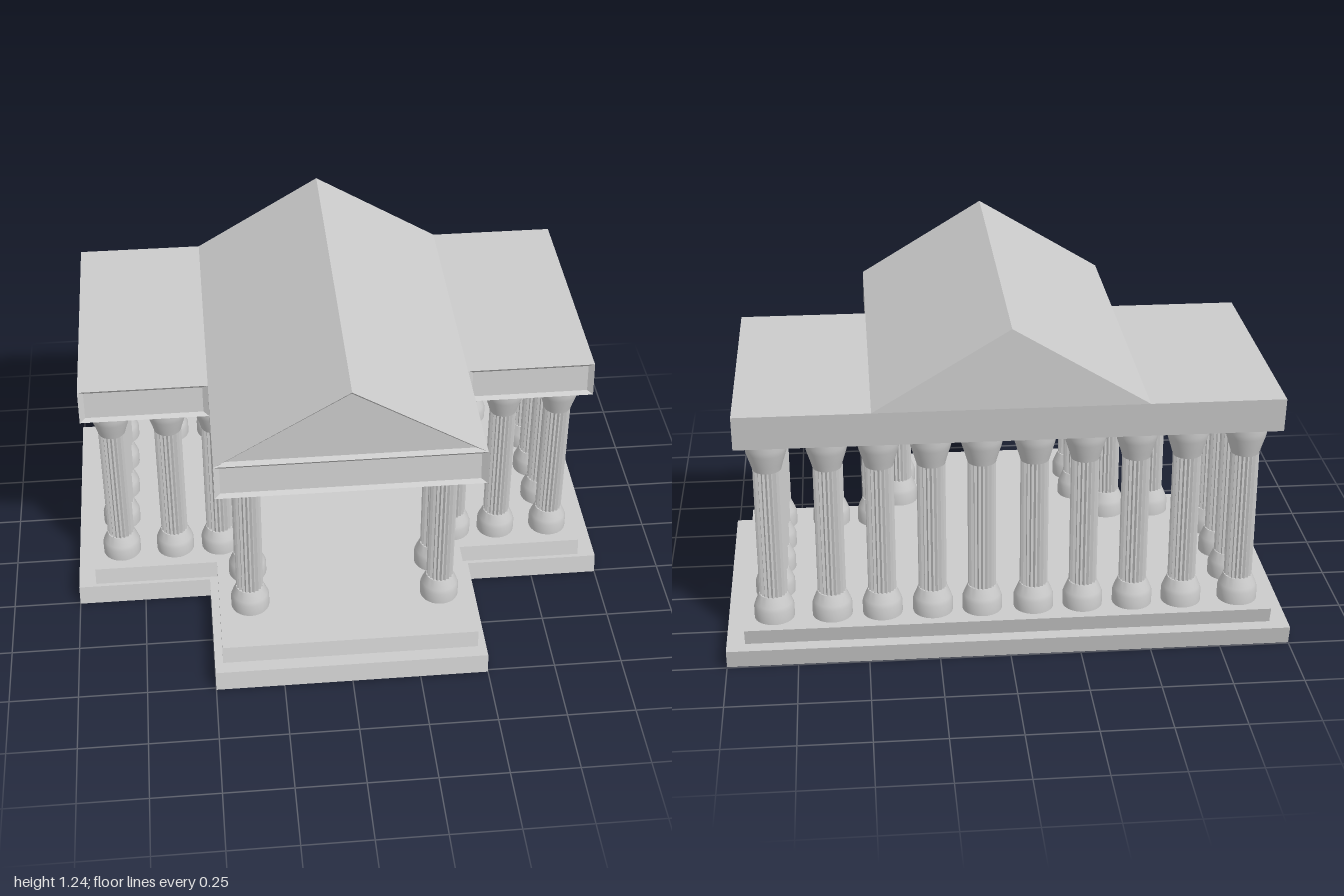
import * as THREE from 'three';
import { toCreasedNormals, mergeGeometries } from 'three/addons/utils/BufferGeometryUtils.js';

const LEAN = 0.015;    // every slab leans slightly backwards
const RECESS = 0.015;  // depth of the sunken front panels

const flat = new THREE.MeshStandardMaterial({ color: 0xcccccc, flatShading: true });
const smooth = new THREE.MeshStandardMaterial({ color: 0xcccccc });

function add(parent, name, geometry, material = flat) {
  const mesh = new THREE.Mesh(geometry, material);
  mesh.name = name;
  parent.add(mesh);
  return mesh;
}

// T-shaped slab: wide hall at the back, narrow porch at the front
function slab(y, height, hallX, porchX, back, hallFront, porchFront) {
  const plan = [
    [-hallX, back], [-hallX, hallFront], [-porchX, hallFront], [-porchX, porchFront],
    [porchX, porchFront], [porchX, hallFront], [hallX, hallFront], [hallX, back],
  ];
  const shape = new THREE.Shape(plan.map(([x, z]) => new THREE.Vector2(x, -z)));
  const geo = new THREE.ExtrudeGeometry(shape, { depth: height, bevelEnabled: false });
  geo.rotateX(-Math.PI / 2);
  const p = geo.attributes.position;
  for (let i = 0; i < p.count; i++) p.setZ(i, p.getZ(i) - LEAN * p.getY(i) / height);
  geo.translate(0, y, 0);
  return geo;
}

// Bevelled lip running round a sunken panel; outer and inner loops run anticlockwise
function lip(outer, inner, zAt) {
  const pos = [];
  const quad = (a, b, c, d) => pos.push(...a, ...b, ...c, ...a, ...c, ...d);
  const front = outer.map(([x, y]) => [x, y, zAt(y)]);
  const rear = outer.map(([x, y]) => [x, y, zAt(y) - RECESS]);
  const sunk = inner.map(([x, y]) => [x, y, zAt(y) - RECESS]);
  for (let i = 0; i < outer.length; i++) {
    const j = (i + 1) % outer.length;
    quad(rear[i], rear[j], front[j], front[i]);
    quad(front[i], front[j], sunk[j], sunk[i]);
  }
  const geo = new THREE.BufferGeometry();
  geo.setAttribute('position', new THREE.Float32BufferAttribute(pos, 3));
  geo.computeVertexNormals();
  return geo;
}

const rect = (x0, x1, y0, y1) => [[x0, y0], [x1, y0], [x1, y1], [x0, y1]];

// Shaft with shallow flutes: alternate sides pulled inwards
function flutedShaft(radius, y0, y1) {
  const flutes = 20;
  const shape = new THREE.Shape();
  for (let i = 0; i < flutes * 2; i++) {
    const r = i % 2 ? radius * 0.87 : radius;
    const a = (i / (flutes * 2)) * Math.PI * 2;
    shape[i ? 'lineTo' : 'moveTo'](r * Math.cos(a), r * Math.sin(a));
  }
  const geo = new THREE.ExtrudeGeometry(shape, { depth: y1 - y0, bevelEnabled: false });
  return geo.rotateX(-Math.PI / 2).translate(0, y0, 0);
}

function turned(profile) {
  const geo = new THREE.LatheGeometry(profile.map(([r, y]) => new THREE.Vector2(r, y)), 28);
  return toCreasedNormals(geo, 0.7);
}

export function createModel() {
  const model = new THREE.Group();
  model.name = 'temple';

  // Stepped platform
  add(model, 'lowerStep', slab(0, 0.07, 1, 0.5, -0.745, 0.257, 0.76));
  add(model, 'upperStep', slab(0.07, 0.06, 0.935, 0.47, -0.71, 0.227, 0.695));

  // Entablature with sunken front panels
  const y0 = 0.83, y1 = 0.955, hallFront = 0.203, porchFront = 0.67;
  add(model, 'entablature',
    slab(y0, y1 - y0, 0.935, 0.47, -0.73, hallFront - RECESS, porchFront - RECESS));
  const lean = (z) => (y) => z - LEAN * (y - y0) / (y1 - y0);
  const panels = [[-0.935, -0.47, hallFront], [-0.47, 0.47, porchFront], [0.47, 0.935, hallFront]];
  add(model, 'entablatureLips', mergeGeometries(panels.map(([a, b, z]) =>
    lip(rect(a, b, y0, y1), rect(a + 0.02, b - 0.02, y0 + 0.01, y1 - 0.015), lean(z)))));

  // Gable roof and its sunken pediment
  const roofFront = 0.655, roofBack = -0.745, apex = 1.24;
  const gable = [[-0.47, y1], [0.47, y1], [0, apex]];
  const gableShape = new THREE.Shape(gable.map(([x, y]) => new THREE.Vector2(x, y)));
  const roof = new THREE.ExtrudeGeometry(gableShape,
    { depth: roofFront - RECESS - roofBack, bevelEnabled: false });
  add(model, 'gableRoof', roof.translate(0, 0, roofBack));
  add(model, 'pedimentLip',
    lip(gable, [[-0.43, y1 + 0.011], [0.43, y1 + 0.011], [0, apex - 0.015]], () => roofFront));

  // Column parts shared by every column
  const base = turned([[0, 0.13], [0.071, 0.13], [0.071, 0.175], [0.066, 0.19], [0.051, 0.225], [0, 0.225]]);
  const shaft = flutedShaft(0.05, 0.22, 0.715);
  const capital = turned([[0, 0.708], [0.05, 0.708], [0.056, 0.73], [0.07, 0.775],
    [0.074, 0.795], [0.074, 0.83], [0, 0.83]]);

  // Column positions on the +x half: back row, side row, hall front, porch
  const spots = [
    ...[0.092, 0.268, 0.447, 0.625, 0.83].map((x) => [x, -0.62]),
    ...[-0.44, -0.26, -0.08, 0.1].map((z) => [0.83, z]),
    [0.625, 0.1], [0.452, 0.1],
    [0.355, 0.27], [0.355, 0.45],
  ];
  for (const side of [-1, 1]) {
    for (const [x, z] of spots) {
      const column = new THREE.Group();
      column.name = 'column';
      add(column, 'columnBase', base, smooth);
      add(column, 'columnShaft', shaft);
      add(column, 'columnCapital', capital, smooth);
      column.position.set(side * x, 0, z);
      model.add(column);
    }
  }
  return model;
}
